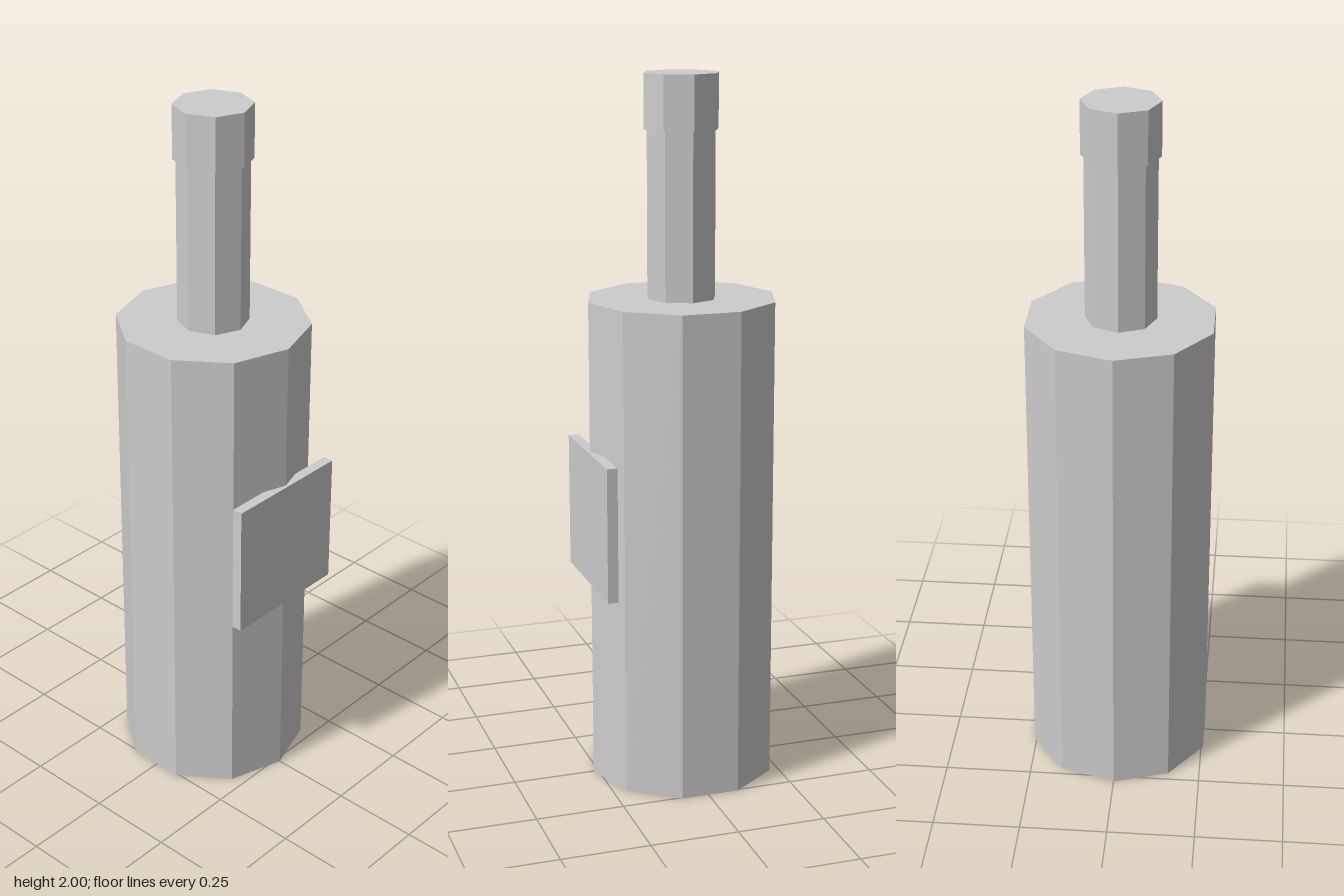
import * as THREE from 'three';

export function createModel() {
  const model = new THREE.Group();
  model.name = 'bottle';
  const grey = new THREE.MeshStandardMaterial({ color: 0xcccccc, flatShading: true });
  grey.name = 'light grey';
  const axisZ = -0.005;

  // Upright faceted cylinder between two heights, with a corner facing the front
  function prism(name, radius, bottom, top, sides) {
    const mesh = new THREE.Mesh(new THREE.CylinderGeometry(radius, radius, top - bottom, sides), grey);
    mesh.name = name;
    mesh.position.set(0, (bottom + top) / 2, axisZ);
    model.add(mesh);
  }

  prism('body', 0.269, 0, 1.385, 10);
  prism('neck', 0.099, 1.385, 1.85, 8);
  prism('cap', 0.1075, 1.85, 2, 8);

  // Flat label plate on the front of the body
  const label = new THREE.Mesh(new THREE.BoxGeometry(0.385, 0.383, 0.03), grey);
  label.name = 'label';
  label.position.set(0, 0.773, 0.257);
  model.add(label);

  return model;
}
